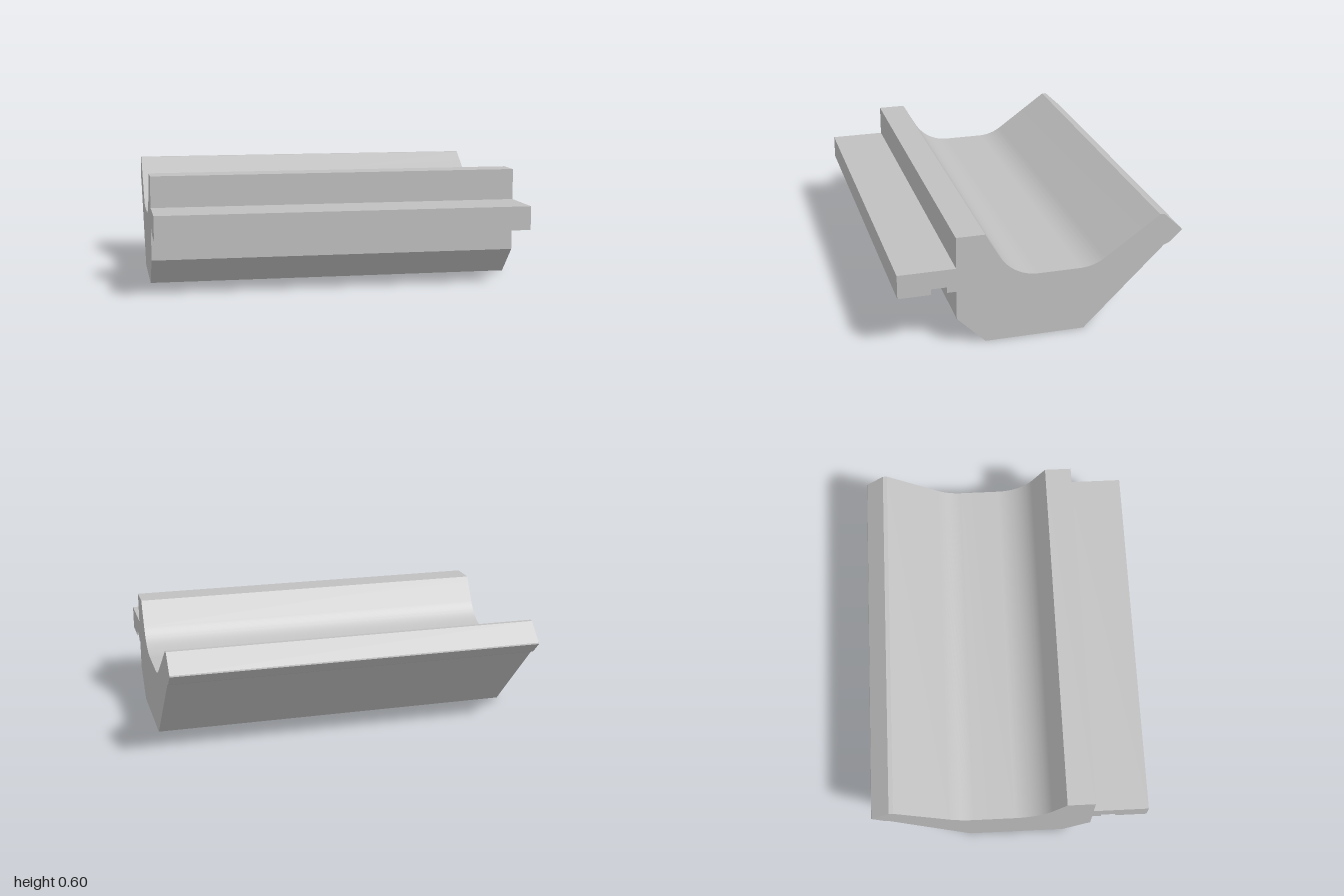
import * as THREE from 'three';
import { toCreasedNormals } from 'three/addons/utils/BufferGeometryUtils.js';

export function createModel() {
  const group = new THREE.Group();
  const grey = new THREE.MeshStandardMaterial({ color: 0xc0c0c0 });
  grey.name = 'light grey';

  const length = 2;
  const radius = 0.235; // fillets of the trough
  const floor = 0.35;
  const rad = THREE.MathUtils.degToRad;

  // Cross-section: shape x is the model's z, shape y is height
  const section = new THREE.Shape();
  section.moveTo(-0.228, 0);
  const line = (points) => points.forEach(([z, y]) => section.lineTo(z, y));

  // Base, front tongue with its groove underneath, front wall
  line([
    [0.3, 0], [0.45, 0.15], [0.45, 0.304],
    [0.498, 0.304], [0.498, 0.335], [0.58, 0.335], [0.58, 0.304],
    [0.75, 0.304], [0.75, 0.432], [0.45, 0.432],
    [0.45, 0.6], [0.3, 0.6],
  ]);

  // Rounded trough
  section.absarc(0.02, floor + radius, radius, rad(-30), rad(-90), true);
  section.absarc(-0.2, floor + radius, radius, rad(-90), rad(-125.6), true);

  // Back lip with its small step underneath
  line([
    [-0.625, 0.6], [-0.648, 0.6], [-0.748, 0.507], [-0.75, 0.5],
    [-0.685, 0.438], [-0.655, 0.425], [-0.228, 0],
  ]);

  const extrusion = new THREE.ExtrudeGeometry(section, {
    depth: length, bevelEnabled: false, curveSegments: 16,
  });
  extrusion.translate(0, 0, -length / 2);
  extrusion.rotateY(-Math.PI / 2);

  const profile = new THREE.Mesh(toCreasedNormals(extrusion, rad(15)), grey);
  profile.name = 'troughProfile';
  group.add(profile);
  return group;
}
